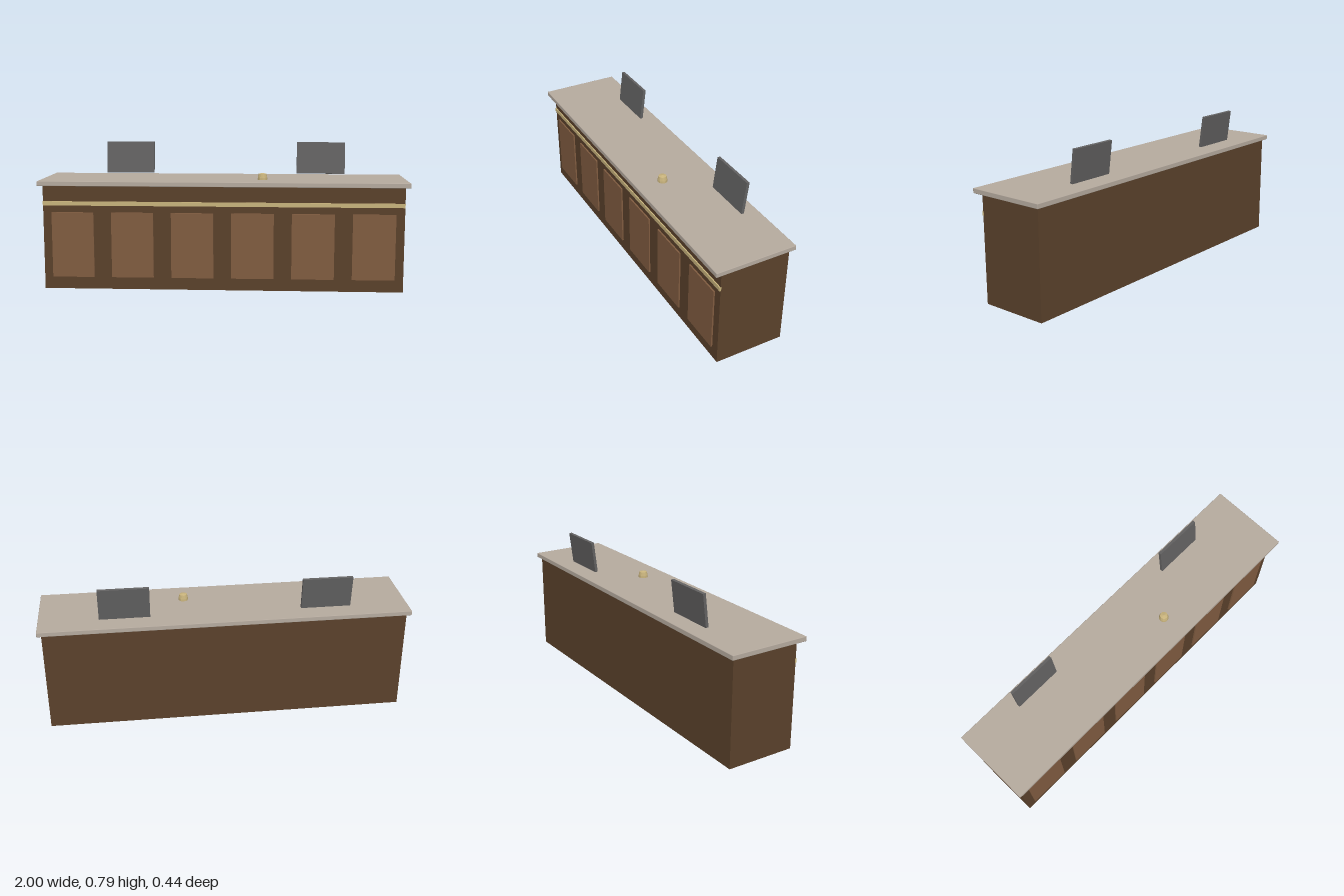
import * as THREE from 'three';
import { RoundedBoxGeometry } from 'three/addons/geometries/RoundedBoxGeometry.js';

const material = (name, color, extra = {}) => {
  const m = new THREE.MeshStandardMaterial({ color, ...extra });
  m.name = name;
  return m;
};

export function createModel() {
  const model = new THREE.Group();
  model.name = 'receptionDesk';

  const darkWood = material('dark wood', 0x5a412b);
  const panelWood = material('panel wood', 0x805c40);
  const stone = material('stone', 0xb5aa9e);
  const brass = material('brass', 0xc8b37c, { flatShading: true });
  const grey = material('screen grey', 0x626161);

  const add = (name, geometry, mat, x, y, z) => {
    const mesh = new THREE.Mesh(geometry, mat);
    mesh.name = name;
    mesh.position.set(x, y, z);
    model.add(mesh);
    return mesh;
  };

  // Cabinet and overhanging counter slab
  add('cabinet', new THREE.BoxGeometry(1.956, 0.573, 0.38), darkWood, 0, 0.2865, -0.01);
  add('countertop', new RoundedBoxGeometry(2, 0.026, 0.443, 1, 0.003), stone, 0, 0.585, 0);

  // Brass strip across the front
  add('trimStrip', new THREE.BoxGeometry(1.956, 0.023, 0.01), brass, 0, 0.4735, 0.181);

  // Row of raised front panels
  const panel = new THREE.BoxGeometry(0.23, 0.358, 0.014);
  for (let i = 0; i < 6; i++) {
    add('frontPanel', panel, panelWood, (i - 2.5) * 0.3265, 0.246, 0.181);
  }

  // Two screens leaning back
  const screen = new THREE.BoxGeometry(0.271, 0.178, 0.016);
  for (const side of [-1, 1]) {
    add('screen', screen, grey, side * 0.542, 0.699, -0.138).rotation.x = -0.12;
  }

  // Service bell
  const profile = [[0, 0], [0.0265, 0], [0.0258, 0.013], [0.021, 0.033], [0, 0.038]]
    .map(([r, y]) => new THREE.Vector2(r, y));
  add('serviceBell', new THREE.LatheGeometry(profile, 12), brass, 0.215, 0.597, 0.072);

  return model;
}
